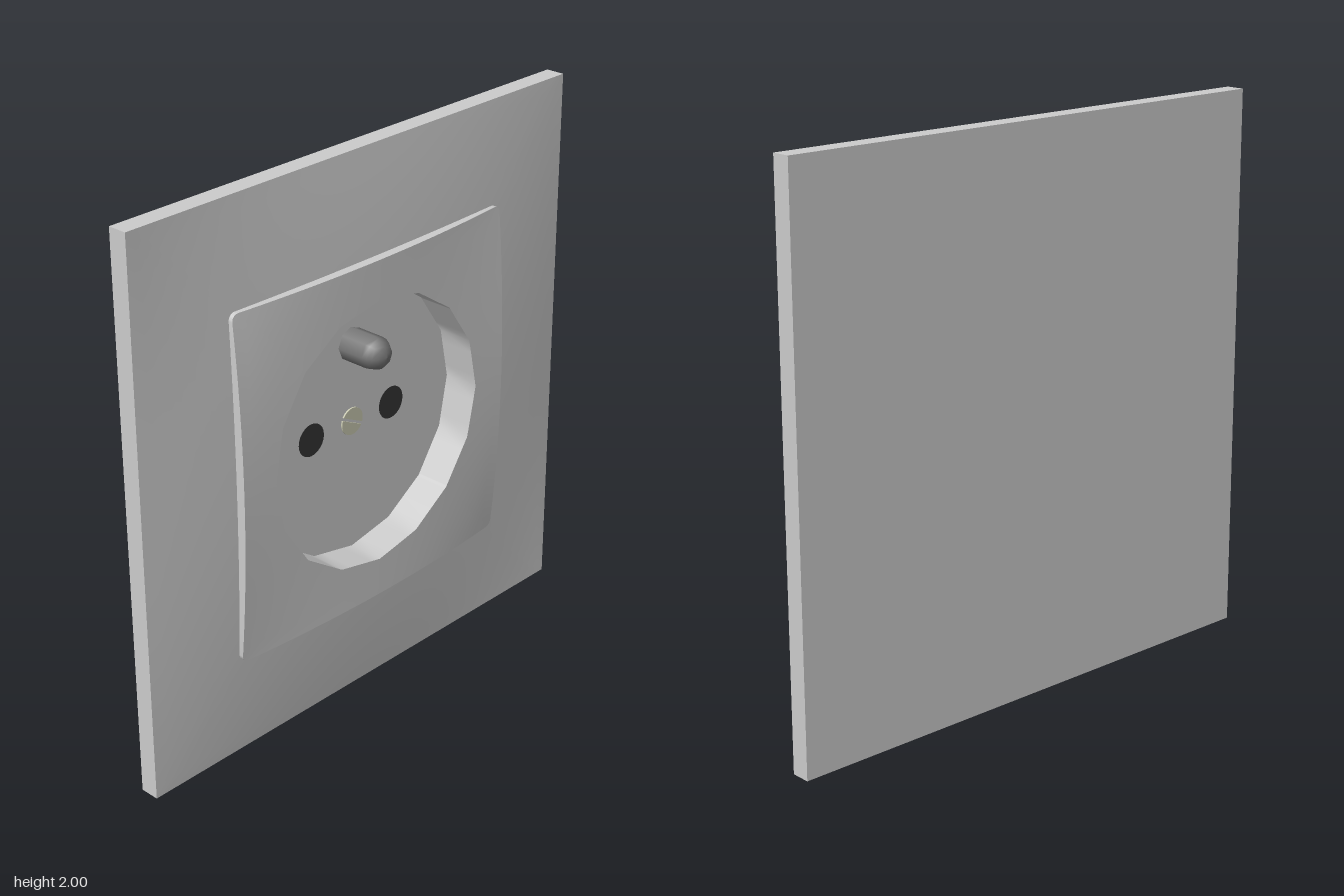
import * as THREE from 'three';
import { toCreasedNormals } from 'three/addons/utils/BufferGeometryUtils.js';

const CY = 1, BACK = -0.085, FLOOR = -0.08;
const HALF = 0.63, WELL = 0.49;

// Directions shared by every loop: even steps plus extra ones for the rounded corners
const angles = [];
for (let q = 0; q < 4; q++) {
  const deg = [-1.16, -0.8, -0.4, 0.4, 0.8, 1.16].map(d => 45 + d);
  for (let k = 0; k < 16; k++) deg.push(k * 5.625);
  deg.sort((a, b) => a - b).forEach(d => angles.push((d + q * 90) * Math.PI / 180));
}

// Distance from the centre to a rounded square
const square = (h, r) => a => {
  const x = Math.abs(Math.cos(a)), y = Math.abs(Math.sin(a)), c = h - r;
  const s = h / Math.max(x, y);
  if (r === 0 || Math.min(x, y) * s <= c) return s;
  const b = c * (x + y);
  return b + Math.sqrt(b * b - 2 * c * c + r * r);
};
// Distance from the centre to a 16-sided outline
const polygon = rad => a => {
  const step = Math.PI / 8;
  const t = ((a + 1e-9) % step) - step / 2;
  return rad * Math.cos(step / 2) / Math.cos(t);
};

// A loop of points at a given height, or on a height rule z(x, y)
const loop = (radius, z) => angles.map(a => {
  const r = radius(a), x = r * Math.cos(a), y = r * Math.sin(a);
  return [x, y, typeof z === 'function' ? z(x, y) : z];
});
const between = (f, g, t) => a => f(a) * (1 - t) + g(a) * t;

// Skin a list of loops, ordered from back to front
function skin(loops) {
  const pos = [], n = angles.length;
  for (let k = 0; k + 1 < loops.length; k++) {
    for (let i = 0; i < n; i++) {
      const j = (i + 1) % n, a = loops[k], b = loops[k + 1];
      const same = (p, q) => Math.hypot(p[0] - q[0], p[1] - q[1], p[2] - q[2]) < 1e-7;
      if (!same(a[i], a[j])) pos.push(...a[i], ...a[j], ...b[j]);
      if (!same(b[i], b[j])) pos.push(...a[i], ...b[j], ...b[i]);
    }
  }
  const g = new THREE.BufferGeometry();
  g.setAttribute('position', new THREE.Float32BufferAttribute(pos, 3));
  return toCreasedNormals(g, 0.5);
}

export function createModel() {
  const model = new THREE.Group();
  const add = (name, geo, color = 0xcccccc, x = 0, y = 0, z = 0) => {
    const mesh = new THREE.Mesh(geo, new THREE.MeshStandardMaterial({ color }));
    mesh.name = name;
    mesh.position.set(x, CY + y, z);
    model.add(mesh);
    return mesh;
  };

  // Wall plate: square slab with a softly pillowed front, open under the insert
  const plateZ = (x, y) => -0.015 + 0.058 * (1 - x * x) * (1 - y * y);
  const rim = square(1, 0), opening = square(0.6, 0);
  const plate = [loop(() => 0, BACK), loop(rim, BACK)];
  for (let k = 0; k <= 8; k++) plate.push(loop(between(rim, opening, k / 8), plateZ));
  add('wallPlate', skin(plate));

  // Socket insert: rounded square with drooping corners and a round well
  const insertZ = (x, y) => 0.054 - 0.033 * (x * y / HALF ** 2) ** 2;
  const edge = square(HALF, 0.025), well = polygon(WELL);
  const insert = [loop(edge, -0.01)];
  for (let k = 0; k <= 5; k++) insert.push(loop(between(edge, well, k / 5), insertZ));
  insert.push(loop(well, FLOOR), loop(() => 0, FLOOR));
  add('socketInsert', skin(insert));

  // Earth pin with a domed tip
  const profile = [new THREE.Vector2(0.06, FLOOR)];
  for (let k = 0; k <= 5; k++) {
    const t = k / 5 * Math.PI / 2;
    profile.push(new THREE.Vector2(k === 5 ? 0 : 0.06 * Math.cos(t), 0.025 + 0.06 * Math.sin(t)));
  }
  add('earthPin', new THREE.LatheGeometry(profile, 8).rotateX(Math.PI / 2), 0x777777, 0, 0.29);

  // Contact holes
  for (const side of [-1, 1]) {
    add(side > 0 ? 'leftContactHole' : 'rightContactHole',
      new THREE.CircleGeometry(0.06, 24), 0x333333, side * 0.195, 0, FLOOR + 0.002);
  }

  // Centre screw: two half heads separated by a slot
  const gap = Math.asin(0.1);
  for (const turn of [0, Math.PI]) {
    const half = new THREE.Shape().absarc(0, 0, 0.05, gap, Math.PI - gap, false);
    half.closePath();
    const geo = new THREE.ExtrudeGeometry(half, { depth: 0.006, bevelEnabled: false, curveSegments: 12 });
    add(turn ? 'screwLowerHalf' : 'screwUpperHalf', geo, 0xc8c8b0, 0, 0, FLOOR)
      .rotation.z = turn - 0.45;
  }
  return model;
}
